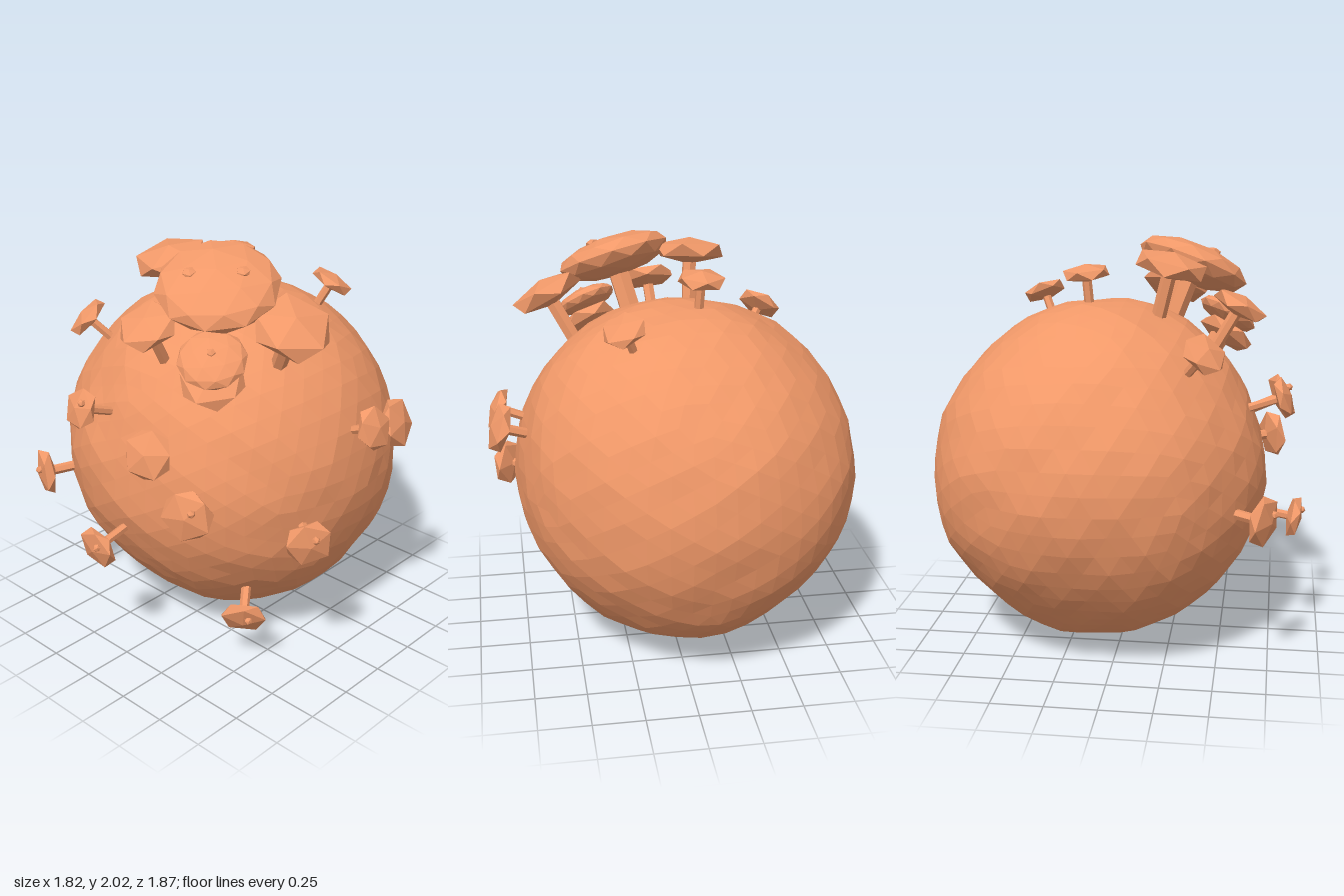
import * as THREE from 'three';
import { mergeVertices } from 'three/addons/utils/BufferGeometryUtils.js';

const material = new THREE.MeshStandardMaterial({ color: 0xf09868, flatShading: true });
const CENTRE = new THREE.Vector3(-0.08, 0.86, -0.09);
const RADIUS = 0.845;
const UP = new THREE.Vector3(0, 1, 0);
const FRONT = new THREE.Vector3(0, 0, 1);

// Unit direction from degrees above the equator and degrees from +z towards +x
function direction(lat, lon) {
  const rad = THREE.MathUtils.degToRad;
  return new THREE.Vector3().setFromSphericalCoords(1, rad(90 - lat), rad(lon));
}

function part(name, geo) {
  const mesh = new THREE.Mesh(geo, material);
  mesh.name = name;
  return mesh;
}

// Lumpy ball: broad bulges and dents plus two ripples
function bodyGeometry() {
  const bulges = [
    { dir: direction(39, 90), amount: 0.035 },
    { dir: direction(-45, -90), amount: -0.04 },
    { dir: direction(20, 0), amount: -0.04 },
    { dir: direction(-42, 0), amount: -0.05 },
    { dir: direction(-85, 0), amount: 0.035 },
    { dir: direction(0, -140), amount: 0.025 },
    { dir: direction(-40, 180), amount: 0.02 },
  ];
  const ball = new THREE.IcosahedronGeometry(1, 8);
  ball.deleteAttribute('normal');
  ball.deleteAttribute('uv');
  const geo = mergeVertices(ball);
  const pos = geo.attributes.position;
  const v = new THREE.Vector3();
  for (let i = 0; i < pos.count; i++) {
    v.fromBufferAttribute(pos, i);
    let r = RADIUS + 0.009 * Math.sin(7 * v.x + 3 * v.y) * Math.sin(6 * v.z - 4 * v.y);
    r += 0.006 * Math.sin(17 * v.y + 5 * v.x) * Math.cos(15 * v.z + 9 * v.x);
    for (const b of bulges) r += b.amount * Math.exp(6 * (v.dot(b.dir) - 1));
    v.multiplyScalar(r);
    pos.setXYZ(i, v.x, v.y, v.z);
  }
  geo.computeVertexNormals();
  return geo;
}

// Unit icosahedron standing on a corner
function pebble(detail) {
  const tilt = Math.atan2(2, 1 + Math.sqrt(5));
  return new THREE.IcosahedronGeometry(1, detail).rotateZ(tilt);
}

// Flattened cap on a stalk growing out of the body, leaning a little towards an axis
function mushroom(name, [lat, lon, r, distance = 0.98], { towards = UP, lean = 0, detail = 0 } = {}) {
  const group = new THREE.Group();
  group.name = name;
  const normal = direction(lat, lon);
  group.position.copy(CENTRE).addScaledVector(normal, distance);
  normal.addScaledVector(towards, lean).normalize();
  group.quaternion.setFromUnitVectors(UP, normal);

  const cap = part('cap', pebble(detail).rotateY(lon).scale(r, 0.35 * r, r));
  const length = distance - RADIUS + 0.08;
  const stalk = part('stalk', new THREE.CylinderGeometry(0.19 * r, 0.19 * r, length, 6));
  stalk.position.y = -length / 2;
  group.add(cap, stalk);
  return group;
}

// Small bump resting on a cap, shifted from its middle by a world offset
function addKnob(group, r, size, x, y, z) {
  const p = new THREE.Vector3(x, y, z).applyQuaternion(group.quaternion.clone().invert());
  const lift = 0.32 * Math.sqrt(Math.max(r * r - p.x * p.x - p.z * p.z, 0));
  const knob = part('knob', pebble(0).scale(size, 0.02, size));
  knob.position.set(p.x, lift, p.z);
  group.add(knob);
}

// Latitude, longitude, cap radius and, where it differs, distance from the body's centre
const KNOBBED = [[25, -8, 0.11], [4, 32, 0.135], [-5, -33, 0.13, 0.96], [-14, 2, 0.115], [-37, 48, 0.125], [-6, 65, 0.125]];
const PLAIN = [[19, 20, 0.13], [21, 89, 0.115, 0.99], [19, 100, 0.13, 0.99], [44, -43, 0.12], [84, -146, 0.125, 0.99], [59, 137, 0.115]];
const CLUSTER = [
  [72, -12, 0.19, 1.08],
  [50, 66, 0.2, 1.11],
  [51, 9, 0.155, 1.05],
  [41, 37, 0.165, 0.95],
];

export function createModel() {
  const model = new THREE.Group();
  model.name = 'mushroomBoulder';
  const body = part('body', bodyGeometry());
  body.position.copy(CENTRE);
  model.add(body);

  // Scattered small mushrooms
  for (const spot of KNOBBED) {
    const m = mushroom('knobbedMushroom', spot, { towards: FRONT, lean: 0.25 });
    addKnob(m, spot[2], 0.02, 0.035, 0.035, 0);
    model.add(m);
  }
  for (const spot of PLAIN) model.add(mushroom('smallMushroom', spot));

  // Crown cluster: big two-knobbed cap, its neighbours and a stacked front cap
  const main = mushroom('mainMushroom', [63, 37, 0.29, 1.115], { lean: 0.08, detail: 1 });
  for (const side of [-1, 1]) addKnob(main, 0.29, 0.035, 0.02 + 0.09 * side, 0.07, 0.03 - 0.08 * side);
  model.add(main);
  for (const spot of CLUSTER) model.add(mushroom('clusterMushroom', spot, { lean: 0.3 }));
  const stacked = mushroom('stackedMushroom', [45, 37, 0.16, 1.025], { lean: 0.3, detail: 1 });
  addKnob(stacked, 0.16, 0.022, 0, 0, 0);
  model.add(stacked);
  return model;
}
